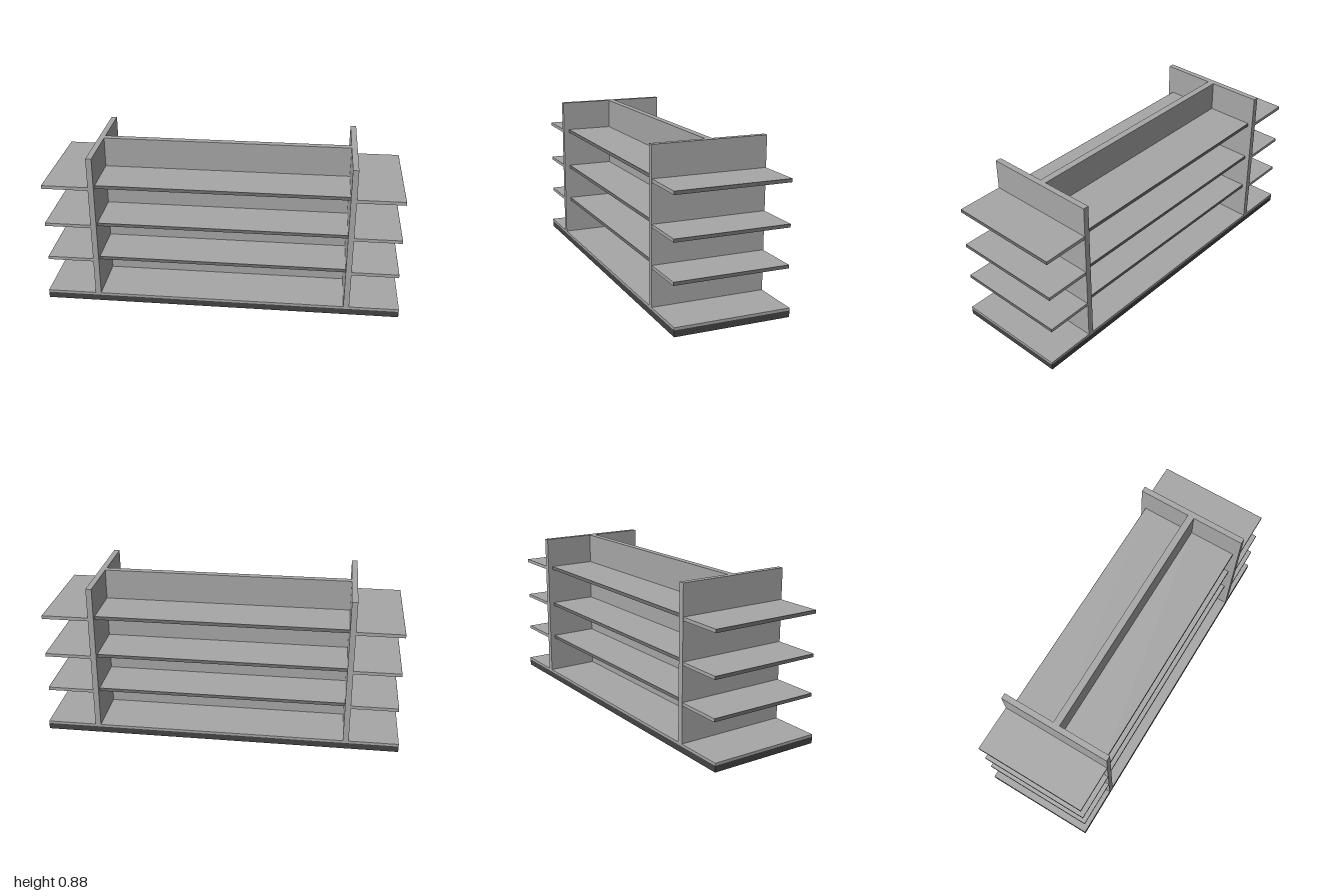
import * as THREE from 'three';

export function createModel() {
  const group = new THREE.Group();
  const board = new THREE.MeshStandardMaterial({ color: 0xa7a7a7 });
  board.name = 'light grey board';
  const plinthGrey = new THREE.MeshStandardMaterial({ color: 0x444444 });
  plinthGrey.name = 'dark grey plinth';
  const edgeGrey = new THREE.MeshStandardMaterial({ color: 0x707070 });
  edgeGrey.name = 'mid grey edging';

  // Box given by its limits on each axis
  function slab(name, material, [x0, x1], [y0, y1], [z0, z1]) {
    const mesh = new THREE.Mesh(new THREE.BoxGeometry(x1 - x0, y1 - y0, z1 - z0), material);
    mesh.position.set((x0 + x1) / 2, (y0 + y1) / 2, (z0 + z1) / 2);
    mesh.name = name;
    group.add(mesh);
  }
  const mirror = (side, a, b) => (side > 0 ? [a, b] : [-b, -a]);

  const depth = [-0.318, 0.318];
  const top = 0.885;
  const panelIn = 0.692, panelOut = 0.724;
  const spine = [-0.021, 0.017];

  // Base: light core and deck, with a dark kick plate on every side
  slab('baseCore', board, [-0.996, 0.996], [0, 0.035], [-0.314, 0.314]);
  slab('baseDeck', board, [-1, 1], [0.035, 0.049], depth);
  for (const side of [1, -1]) {
    slab('longKickPlate', plinthGrey, [-1, 1], [0, 0.035], mirror(side, 0.314, 0.318));
    slab('endKickPlate', plinthGrey, mirror(side, 0.996, 1), [0, 0.035], [-0.314, 0.314]);
  }

  // Upright centre panel and the two end panels
  slab('centrePanel', board, [-panelIn, panelIn], [0.049, top], spine);
  for (const side of [1, -1]) {
    slab('endPanel', board, mirror(side, panelIn, panelOut), [0.035, top], depth);
  }

  // Three levels of shelves, each with a darker strip on its outer edge
  for (const level of [[0.254, 0.272], [0.467, 0.485], [0.696, 0.715]]) {
    const inner = [-panelIn, panelIn];
    slab('frontShelf', board, inner, level, [spine[1], 0.283]);
    slab('frontShelfEdge', edgeGrey, inner, level, [0.283, 0.286]);
    slab('backShelf', board, inner, level, [-0.287, spine[0]]);
    slab('backShelfEdge', edgeGrey, inner, level, [-0.29, -0.287]);
    for (const side of [1, -1]) {
      slab('endShelf', board, mirror(side, panelOut, 0.98), level, [-0.316, 0.316]);
      slab('endShelfEdge', edgeGrey, mirror(side, 0.98, 0.983), level, [-0.316, 0.316]);
    }
  }
  return group;
}
